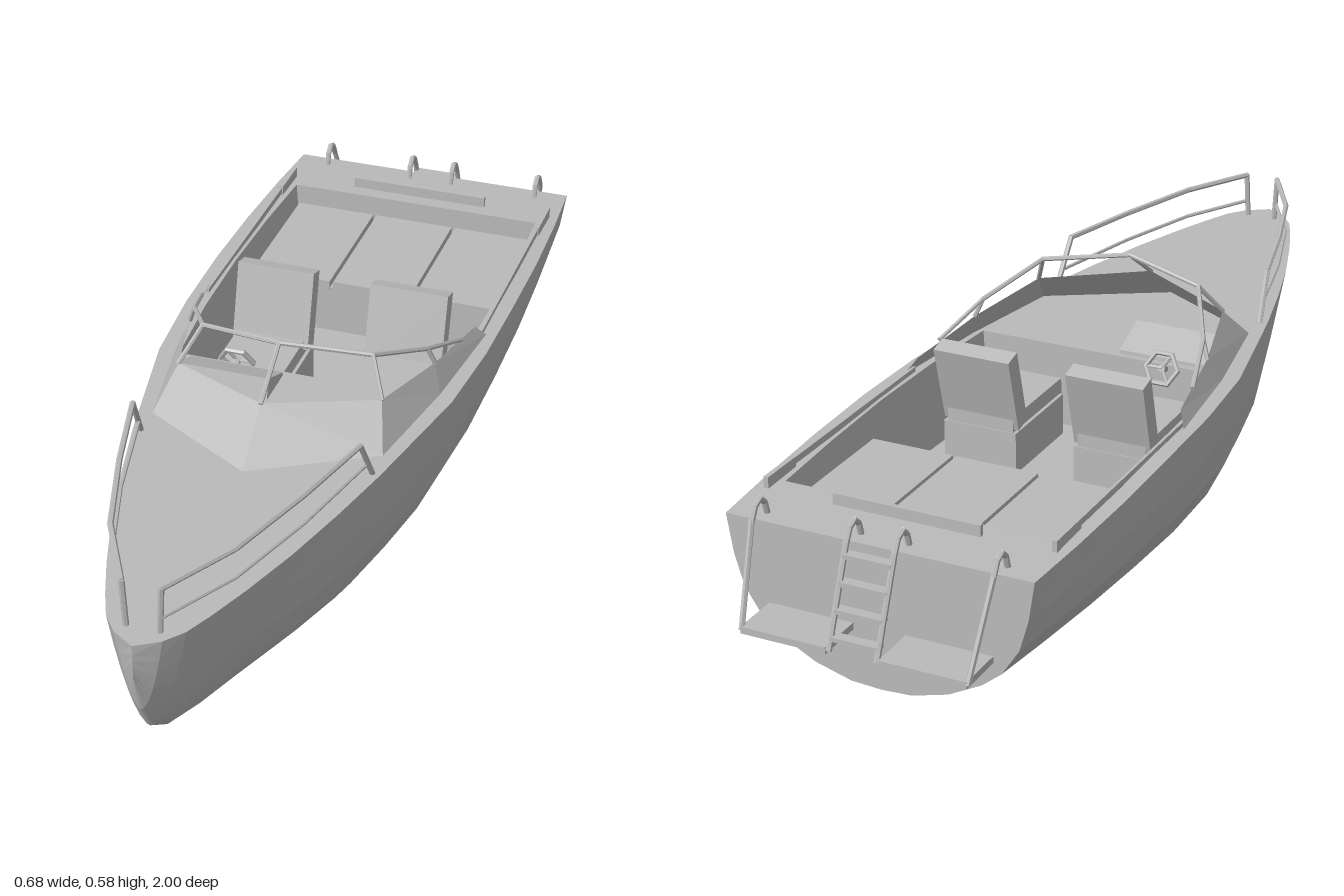
import * as THREE from 'three';

const grey = new THREE.MeshStandardMaterial({ color: 0xbababa, flatShading: true, side: THREE.DoubleSide });
grey.name = 'hull grey';

// hull stations: z, half width at deck, keel height
const STATIONS = [
  [-0.895, 0.32, 0.1], [-0.74, 0.33, 0.083], [-0.55, 0.337, 0.06], [-0.35, 0.338, 0.036], [-0.15, 0.334, 0.015],
  [0.05, 0.318, 0.002], [0.2, 0.288, 0.001], [0.35, 0.258, 0.012], [0.5, 0.222, 0.033], [0.65, 0.181, 0.063],
  [0.78, 0.138, 0.095], [0.87, 0.104, 0.13], [0.93, 0.078, 0.175], [0.97, 0.047, 0.245], [1.0, 0, 0.34],
];
// half cross-section: fraction of width, fraction of height
const SECTION = [[0, 0], [0.2, 0.012], [0.44, 0.085], [0.66, 0.21], [0.785, 0.32], [0.9, 0.51], [0.96, 0.73], [1, 1]];
const deckY = (z) => 0.412 - 0.025 * Math.max(0, -0.35 - z);
const FLOOR = 0.23, AFT = -0.74, FORE = 0.05;

function mesh(geometry, name, parent, x = 0, y = 0, z = 0) {
  const m = new THREE.Mesh(geometry, grey);
  m.name = name;
  m.position.set(x, y, z);
  parent.add(m);
  return m;
}

function group(name, parent) {
  const g = new THREE.Group();
  g.name = name;
  parent.add(g);
  return g;
}

const box = (w, h, d, name, parent, x, y, z) => mesh(new THREE.BoxGeometry(w, h, d), name, parent, x, y, z);

// surface through rows of equally many points
function loft(rows, name, parent) {
  const n = rows[0].length, index = [];
  for (let i = 0; i < rows.length - 1; i++) {
    for (let j = 0; j < n - 1; j++) {
      const a = i * n + j, b = a + n;
      index.push(a, a + 1, b, b, a + 1, b + 1);
    }
  }
  const g = new THREE.BufferGeometry();
  g.setAttribute('position', new THREE.Float32BufferAttribute(rows.flat(2), 3));
  g.setIndex(index);
  const flat = g.toNonIndexed();
  flat.computeVertexNormals();
  return mesh(flat, name, parent);
}

// chain of straight tubes through points
function pipe(points, r, name, parent) {
  const g = group(name, parent);
  const pts = points.map((p) => new THREE.Vector3(...p));
  for (let i = 0; i < pts.length - 1; i++) {
    const dir = pts[i + 1].clone().sub(pts[i]);
    const m = mesh(new THREE.CylinderGeometry(r, r, dir.length() + r * 0.6, 6), name + 'Segment', g);
    m.position.copy(pts[i]).addScaledVector(dir, 0.5);
    m.quaternion.setFromUnitVectors(new THREE.Vector3(0, 1, 0), dir.normalize());
  }
  return g;
}

function buildHull(boat) {
  // round sections aft, turning to a sharp V towards the stem
  const half = (s, [z, w, k]) => {
    const vee = THREE.MathUtils.smoothstep(z, 0.3, 0.95);
    return SECTION.map(([fx, fy]) => {
      const x = THREE.MathUtils.lerp(fx, fy ** 0.55, vee);
      return [s * x * w, k + fy * (deckY(z) - k), z];
    });
  };
  const rows = STATIONS.map((st) => [...half(-1, st).reverse(), ...half(1, st).slice(1)]);
  loft(rows, 'hull', boat);
  const transom = rows[0];
  loft([transom, transom.map(([x, , z]) => [x, deckY(z), z])], 'transom', boat);

  // decks fore and aft of the cockpit
  const edge = ([z, w]) => [[-w, deckY(z), z], [w, deckY(z), z]];
  loft(STATIONS.filter(([z]) => z >= FORE).map(edge), 'foredeck', boat);
  loft(STATIONS.filter(([z]) => z <= AFT).map(edge), 'aftDeck', boat);

  // side decks, cockpit walls and floor
  const mid = STATIONS.filter(([z]) => z >= AFT && z <= FORE);
  for (const s of [-1, 1]) {
    loft(mid.map(([z, w]) => [[s * w, deckY(z), z], [s * (w - 0.045), deckY(z), z], [s * (w * 0.86 - 0.01), FLOOR, z]]),
      s < 0 ? 'rightSideDeck' : 'leftSideDeck', boat);
  }
  loft(mid.map(([z, w]) => [[-w * 0.86 + 0.01, FLOOR, z], [w * 0.86 - 0.01, FLOOR, z]]), 'cockpitFloor', boat);
  for (const [z, w] of [mid[0], mid[mid.length - 1]]) {
    loft([[[-w + 0.045, deckY(z), z], [w - 0.045, deckY(z), z]],
      [[-w * 0.86 + 0.01, FLOOR, z], [w * 0.86 - 0.01, FLOOR, z]]], 'cockpitBulkhead', boat);
  }
}

function buildWindscreen(boat) {
  const mirror = (pts) => [...pts.map(([x, y, z]) => [-x, y, z]).reverse(), ...pts.slice(1)];
  const base = [[0, 0.412, 0.42], [0.243, 0.412, 0.28], [0.287, 0.412, 0.03], [0.313, 0.412, -0.225]];
  const top = [[0, 0.502, 0.31], [0.215, 0.488, 0.2], [0.266, 0.466, 0], [0.295, 0.442, -0.2]];
  const rail = [[0, 0.578, 0.2], [0.18, 0.556, 0.15], [0.252, 0.503, 0.01], [0.286, 0.455, -0.12]];
  loft([mirror(base), mirror(top)], 'windscreenCowl', boat);
  pipe(mirror(rail), 0.005, 'windscreenRail', boat);
  mirror(top).forEach((p, i) => {
    if (i > 0 && i < 6) pipe([p, mirror(rail)[i]], 0.005, 'windscreenPost', boat);
  });
}

function buildSeat(boat, x) {
  const seat = group(x > 0 ? 'leftSeat' : 'rightSeat', boat);
  box(0.165, 0.09, 0.22, 'seatBase', seat, x, FLOOR + 0.045, -0.1);
  box(0.15, 0.035, 0.225, 'seatCushion', seat, x, 0.335, -0.095);
  const back = box(0.17, 0.17, 0.04, 'seatBack', seat, x, 0.412, -0.203);
  back.rotation.x = -0.25;
}

function buildHelm(boat) {
  // sloped console
  const helm = group('helm', boat);
  const profile = new THREE.Shape([[0.05, 0.3], [0.17, 0.39], [0.15, 0.455], [0.065, 0.42]].map((p) => new THREE.Vector2(-p[0], p[1])));
  const g = new THREE.ExtrudeGeometry(profile, { depth: 0.2, bevelEnabled: false });
  g.rotateY(Math.PI / 2);
  mesh(g, 'console', helm, -0.24, 0, 0);
  // steering wheel
  const wheel = group('steeringWheel', helm);
  wheel.position.set(-0.15, 0.41, 0.035);
  wheel.rotation.x = 0.4;
  mesh(new THREE.TorusGeometry(0.036, 0.006, 6, 6), 'wheelRim', wheel);
  for (let i = 0; i < 3; i++) {
    const a = (i * Math.PI * 2) / 3;
    pipe([[0, 0, 0], [0.036 * Math.cos(a), 0.036 * Math.sin(a), 0]], 0.004, 'wheelSpoke', wheel);
  }
  pipe([[0, 0, 0], [0, 0, 0.04]], 0.008, 'steeringColumn', wheel);
}

function buildAftDeckParts(boat) {
  // sun bench with three cushions
  box(0.55, 0.11, 0.32, 'benchBase', boat, 0, FLOOR + 0.055, -0.58);
  for (const x of [-1, 0, 1]) box(0.18, 0.022, 0.322, 'benchCushion', boat, x * 0.188, 0.345, -0.58);
  // low coamings
  box(0.31, 0.025, 0.01, 'aftCoaming', boat, 0, 0.412, -0.78);
  for (const s of [-1, 1]) {
    box(0.01, 0.025, 0.1, 'sideCoaming', boat, s * 0.303, 0.412, -0.73);
    box(0.006, 0.014, 0.5, 'sideTrim', boat, s * 0.303, 0.415, -0.45);
  }
}

function buildSwimGear(boat) {
  for (const s of [-1, 1]) {
    box(0.18, 0.014, 0.11, 'swimPlatform', boat, s * 0.145, 0.222, -0.943);
    for (const [x0, x1] of [[0.25, 0.235], [0.05, 0.05]]) {
      pipe([[s * x0, 0.397, -0.862], [s * x0, 0.425, -0.87], [s * x0, 0.438, -0.885], [s * x0, 0.43, -0.903],
        [s * x0, 0.405, -0.917], [s * x1, 0.222, -0.993]], 0.006, 'platformHanger', boat);
    }
  }
  for (let i = 0; i < 4; i++) {
    const t = i / 3.6;
    box(0.1, 0.009, 0.022, 'ladderRung', boat, 0, 0.385 - 0.17 * t, -0.922 - 0.068 * t);
  }
}

function buildBowRail(boat, s) {
  const rail = group(s < 0 ? 'rightBowRail' : 'leftBowRail', boat);
  const plan = [[0.038, 0.945], [0.122, 0.79], [0.185, 0.59], [0.234, 0.4]];
  const at = (y) => plan.map(([x, z]) => [s * x, y, z]);
  pipe([[s * 0.033, 0.412, 0.945], ...at(0.51), [s * 0.242, 0.412, 0.345]], 0.006, 'topRail', rail);
  pipe([...at(0.446).slice(0, 3), [s * 0.237, 0.446, 0.365]], 0.004, 'middleRail', rail);
}

export function createModel() {
  const boat = new THREE.Group();
  boat.name = 'motorboat';
  buildHull(boat);
  buildWindscreen(boat);
  buildHelm(boat);
  buildAftDeckParts(boat);
  buildSwimGear(boat);
  for (const s of [-1, 1]) {
    buildSeat(boat, s * 0.148);
    buildBowRail(boat, s);
  }
  return boat;
}
